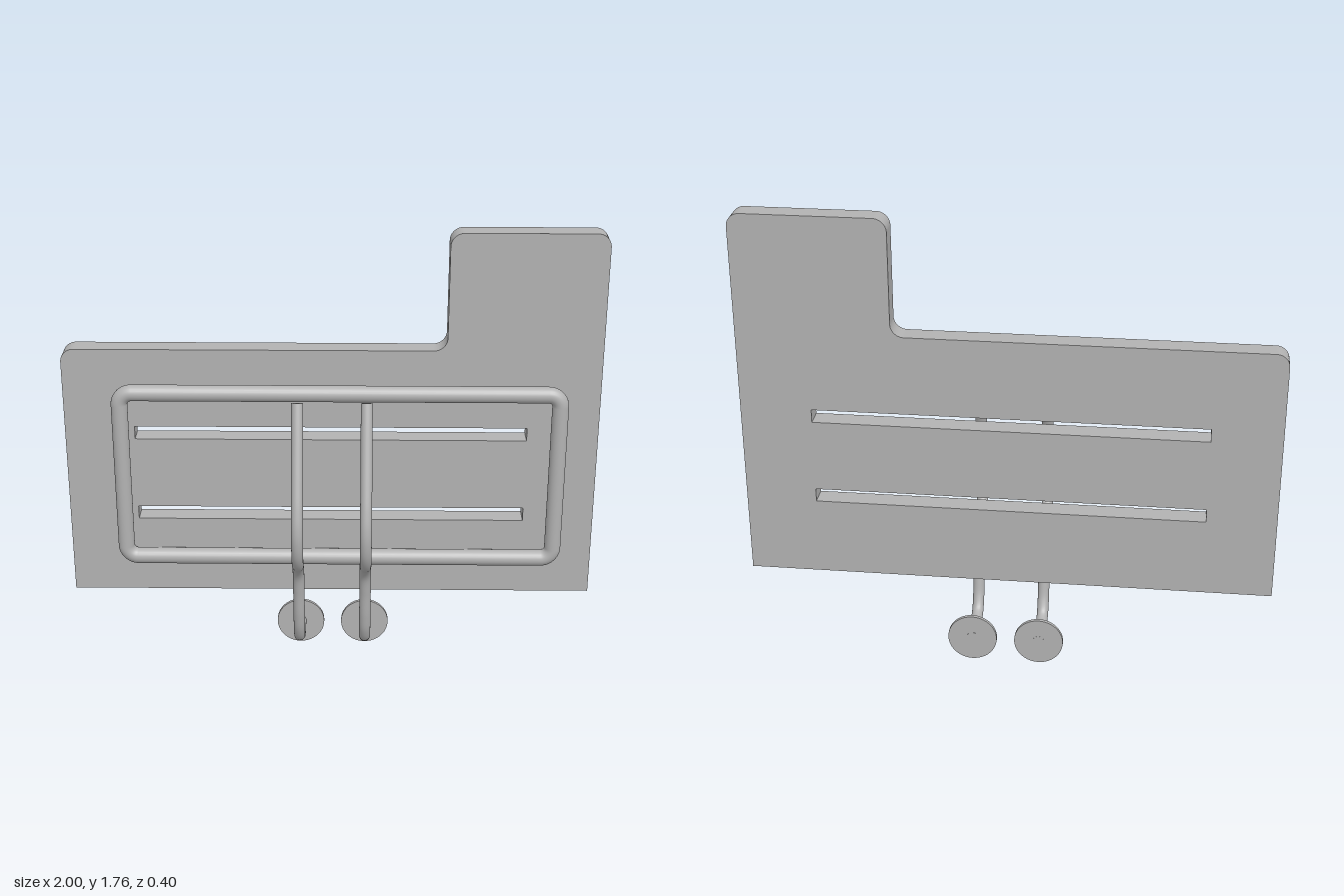
import * as THREE from 'three';

const grey = new THREE.MeshStandardMaterial({ color: 0xb2b2b2 });
grey.name = 'plain grey';

function part(name, geometry, x = 0, y = 0, z = 0) {
  const mesh = new THREE.Mesh(geometry, grey);
  mesh.name = name;
  mesh.position.set(x, y, z);
  return mesh;
}

// Stepped board with rounded upper corners and two long slots
function makeBoard() {
  const r = 0.05, low = 0.317, mid = 1.313, top = 1.76, step = 0.427;
  const s = new THREE.Shape();
  s.moveTo(-1, low);
  s.lineTo(1, low);
  s.lineTo(1, top - r);
  s.absarc(1 - r, top - r, r, 0, Math.PI / 2, false);
  s.lineTo(step + r, top);
  s.absarc(step + r, top - r, r, Math.PI / 2, Math.PI, false);
  s.lineTo(step, mid + r);
  s.absarc(step - r, mid + r, r, 0, -Math.PI / 2, true);
  s.lineTo(-1 + r, mid);
  s.absarc(-1 + r, mid - r, r, Math.PI / 2, Math.PI, false);
  s.closePath();
  for (const [y0, y1] of [[0.622, 0.674], [0.955, 1.006]]) {
    const slot = new THREE.Path();
    slot.moveTo(-0.738, y0);
    slot.lineTo(-0.738, y1);
    slot.lineTo(0.733, y1);
    slot.lineTo(0.733, y0);
    slot.closePath();
    s.holes.push(slot);
  }
  const geometry = new THREE.ExtrudeGeometry(s, { depth: 0.08, bevelEnabled: false, curveSegments: 10 });
  return part('board', geometry, 0, 0, -0.127);
}

// Rectangular tube frame: four straight bars and four elbow corners
function makeFrame() {
  const frame = new THREE.Group();
  frame.name = 'tubeFrame';
  frame.position.set(0.031, 0.816, -0.016);
  const t = 0.031, bend = 0.046, w = 0.849 - t, h = 0.369 - t;
  for (const side of [-1, 1]) {
    const long = new THREE.CylinderGeometry(t, t, 2 * (w - bend), 24, 1, true).rotateZ(Math.PI / 2);
    frame.add(part('horizontalBar', long, 0, side * h));
    const short = new THREE.CylinderGeometry(t, t, 2 * (h - bend), 24, 1, true);
    frame.add(part('verticalBar', short, side * w, 0));
  }
  [[1, 1], [-1, 1], [-1, -1], [1, -1]].forEach(([sx, sy], i) => {
    const elbow = part('frameCorner', new THREE.TorusGeometry(bend, t, 24, 12, Math.PI / 2),
      sx * (w - bend), sy * (h - bend));
    elbow.rotation.z = i * Math.PI / 2;
    frame.add(elbow);
  });
  return frame;
}

// Bent support rod with a round wall flange
function makeSupport(x) {
  const support = new THREE.Group();
  support.name = 'support';
  support.position.x = x;
  const r = 0.022;
  // [z, y] points from the upper end down to the flange
  const points = [
    [0.028, 1.135], [0.062, 1.04], [0.097, 0.94], [0.132, 0.84], [0.16, 0.755],
    [0.175, 0.69], [0.177, 0.635], [0.163, 0.57], [0.13, 0.518], [0.082, 0.48],
    [0.047, 0.43], [0.028, 0.35], [0.012, 0.235], [-0.005, 0.165], [-0.035, 0.117],
    [-0.085, 0.098], [-0.13, 0.097], [-0.19, 0.097],
  ].map(([z, y]) => new THREE.Vector3(0, y, z));
  const path = new THREE.CatmullRomCurve3(points);
  support.add(part('bentRod', new THREE.TubeGeometry(path, 120, r, 20)));

  // Flat cap on the upper end
  const cap = part('rodCap', new THREE.CircleGeometry(r, 20), 0, points[0].y, points[0].z);
  const outward = path.getTangent(0).negate();
  cap.quaternion.setFromUnitVectors(new THREE.Vector3(0, 0, 1), outward);
  support.add(cap);

  const disc = new THREE.CylinderGeometry(0.094, 0.094, 0.014, 48).rotateX(Math.PI / 2);
  support.add(part('wallFlange', disc, 0, 0.095, -0.192));
  // Rod end showing through the back of the flange
  const end = new THREE.CylinderGeometry(r, r, 0.004, 20).rotateX(Math.PI / 2);
  support.add(part('rodEnd', end, 0, 0.097, -0.198));
  return support;
}

export function createModel() {
  const model = new THREE.Group();
  model.name = 'slottedBoardWithSupports';
  model.add(makeBoard(), makeFrame());
  for (const x of [-0.124, 0.132]) model.add(makeSupport(x));
  return model;
}
